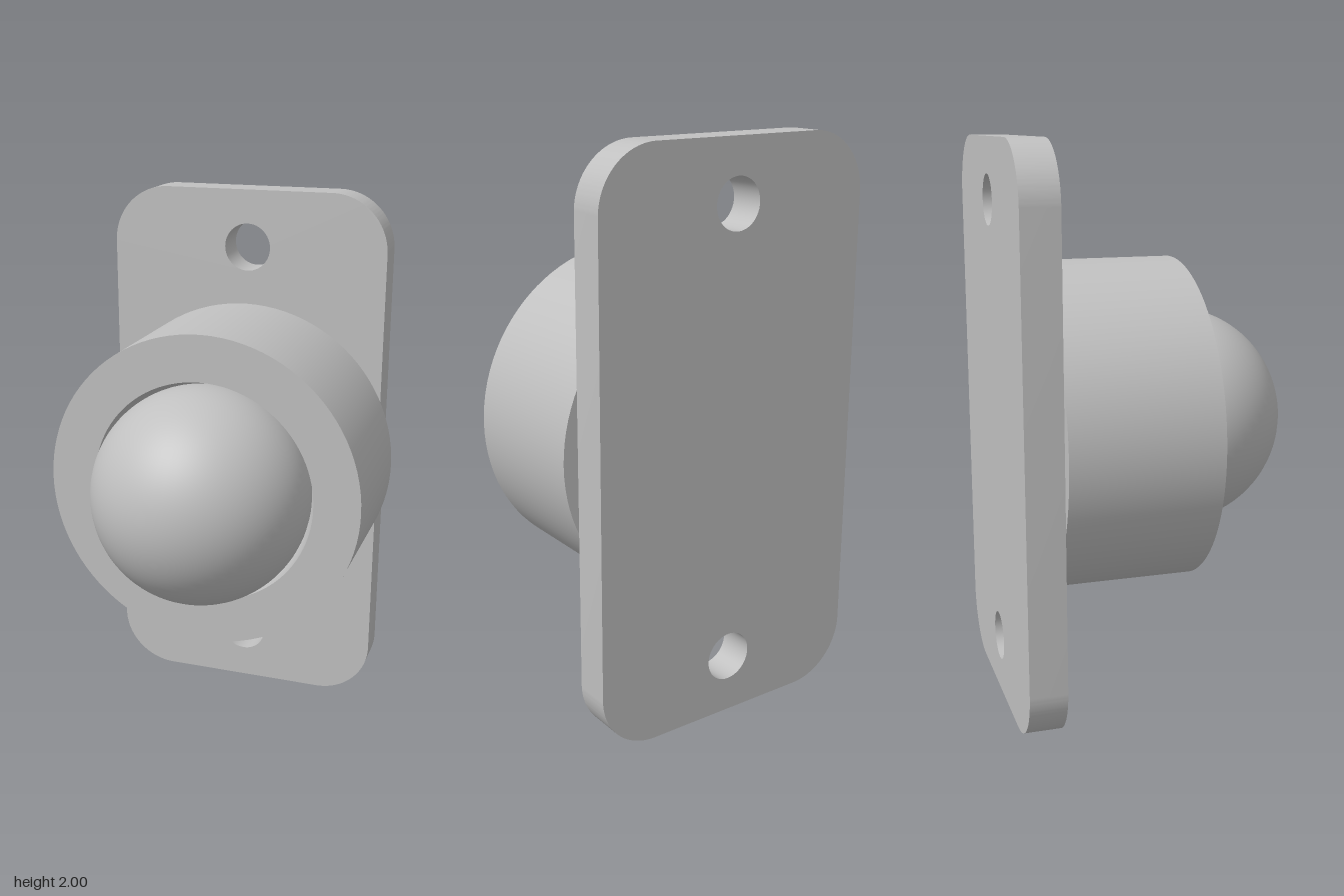
import * as THREE from 'three';
import { toCreasedNormals } from 'three/addons/utils/BufferGeometryUtils.js';

const CENTER_Y = 1.0;
const PLATE_BACK = -0.525, PLATE_FRONT = -0.395, HOUSING_FRONT = 0.132;

// Rounded mounting plate with two screw holes
function plateGeometry() {
  const w = 0.525, h = 1, r = 0.21;
  const shape = new THREE.Shape();
  shape.absarc(w - r, h - r, r, 0, Math.PI / 2);
  shape.absarc(-w + r, h - r, r, Math.PI / 2, Math.PI);
  shape.absarc(-w + r, -h + r, r, Math.PI, Math.PI * 1.5);
  shape.absarc(w - r, -h + r, r, Math.PI * 1.5, Math.PI * 2);
  shape.closePath();
  for (const side of [-1, 1]) {
    const hole = new THREE.Path();
    hole.absarc(0, side * 0.79, 0.087, 0, Math.PI * 2, true);
    shape.holes.push(hole);
  }
  const geometry = new THREE.ExtrudeGeometry(shape, {
    depth: PLATE_FRONT - PLATE_BACK, bevelEnabled: false, curveSegments: 24,
  });
  return toCreasedNormals(geometry, 0.5);
}

// Round housing with a hemispherical socket in its front
function housingGeometry() {
  const outer = 0.578, socket = 0.41, steps = 24;
  const profile = [
    new THREE.Vector2(0, PLATE_FRONT),
    new THREE.Vector2(outer, PLATE_FRONT),
    new THREE.Vector2(outer, HOUSING_FRONT),
  ];
  for (let i = 0; i <= steps; i++) {
    const a = (i / steps) * Math.PI / 2;
    profile.push(new THREE.Vector2(
      i === steps ? 0 : socket * Math.cos(a), HOUSING_FRONT - socket * Math.sin(a)));
  }
  const geometry = new THREE.LatheGeometry(profile, 96).rotateX(Math.PI / 2);
  return toCreasedNormals(geometry, 0.5);
}

export function createModel() {
  const group = new THREE.Group();
  group.name = 'ballTransferUnit';
  const steel = new THREE.MeshStandardMaterial({ color: 0xc0c0c0 });
  steel.name = 'steelGrey';

  const add = (name, geometry, z) => {
    const mesh = new THREE.Mesh(geometry, steel);
    mesh.name = name;
    mesh.position.set(0, CENTER_Y, z);
    group.add(mesh);
  };

  add('mountingPlate', plateGeometry(), PLATE_BACK);
  add('housing', housingGeometry(), 0);
  // Ball resting loosely in the socket
  add('ball', new THREE.SphereGeometry(0.393, 64, 48), HOUSING_FRONT);
  return group;
}
